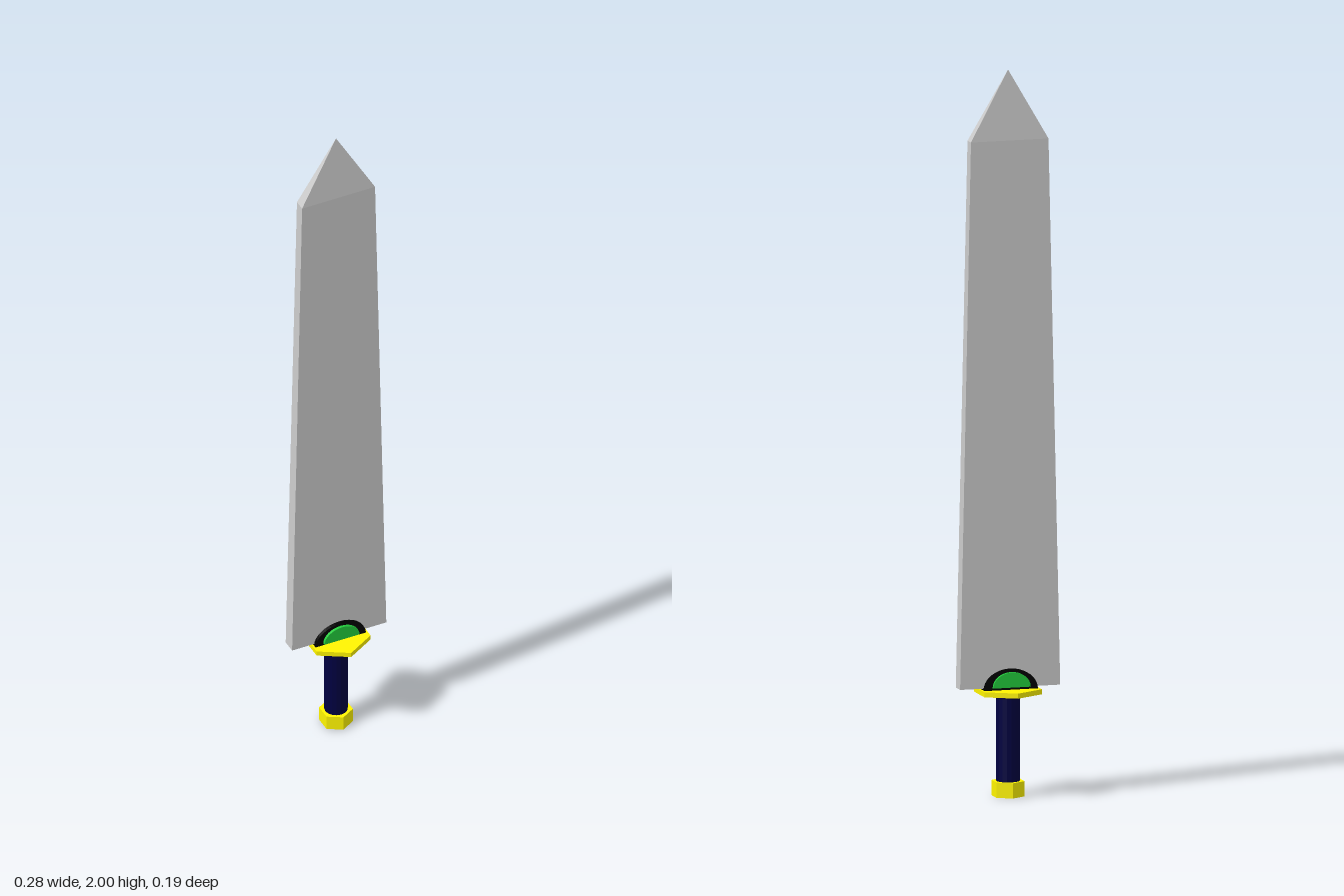
import * as THREE from 'three';

const material = (color) => new THREE.MeshStandardMaterial({ color, flatShading: true });
const steel = material(0xcccccc);
const gold = material(0xfff500);
const navy = material(0x000040);
const black = material(0x000000);
const green = material(0x22cc3c);

export function createModel() {
  const group = new THREE.Group();
  const add = (name, geometry, mat, y = 0) => {
    const mesh = new THREE.Mesh(geometry, mat);
    mesh.name = name;
    mesh.position.y = y;
    group.add(mesh);
  };
  // upright prism between two heights
  const prism = (name, radius, y0, y1, sides, mat) =>
    add(name, new THREE.CylinderGeometry(radius, radius, y1 - y0, sides), mat, (y0 + y1) / 2);

  prism('pommel', 0.046, 0, 0.042, 6, gold);
  prism('grip', 0.032, 0.04, 0.285, 16, navy);
  prism('guard', 0.094, 0.283, 0.297, 6, gold);

  // blade: a box tapering through its shoulder to a point
  const sections = [[0.302, 0.142, 0.02], [1.807, 0.11, 0.016], [2, 0, 0]];
  const blade = new THREE.BoxGeometry(2, 2, 2, 1, 2, 1);
  const p = blade.attributes.position;
  for (let i = 0; i < p.count; i++) {
    const [y, w, d] = sections[Math.round(p.getY(i)) + 1];
    p.setXYZ(i, p.getX(i) * w, y, p.getZ(i) * d);
  }
  blade.computeVertexNormals();
  add('blade', blade, steel);

  // half-round setting and gem, passing through to both faces
  const halfDisc = (name, rx, ry, y, halfDepth, mat) => {
    const shape = new THREE.Shape();
    shape.absellipse(0, 0, rx, ry, 0, Math.PI, false);
    shape.closePath();
    const geometry = new THREE.ExtrudeGeometry(shape, {
      depth: halfDepth * 2, bevelEnabled: false, curveSegments: 8,
    });
    geometry.translate(0, 0, -halfDepth);
    add(name, geometry, mat, y);
  };
  halfDisc('gemSetting', 0.076, 0.058, 0.296, 0.03, black);
  halfDisc('gem', 0.053, 0.042, 0.304, 0.038, green);

  return group;
}
